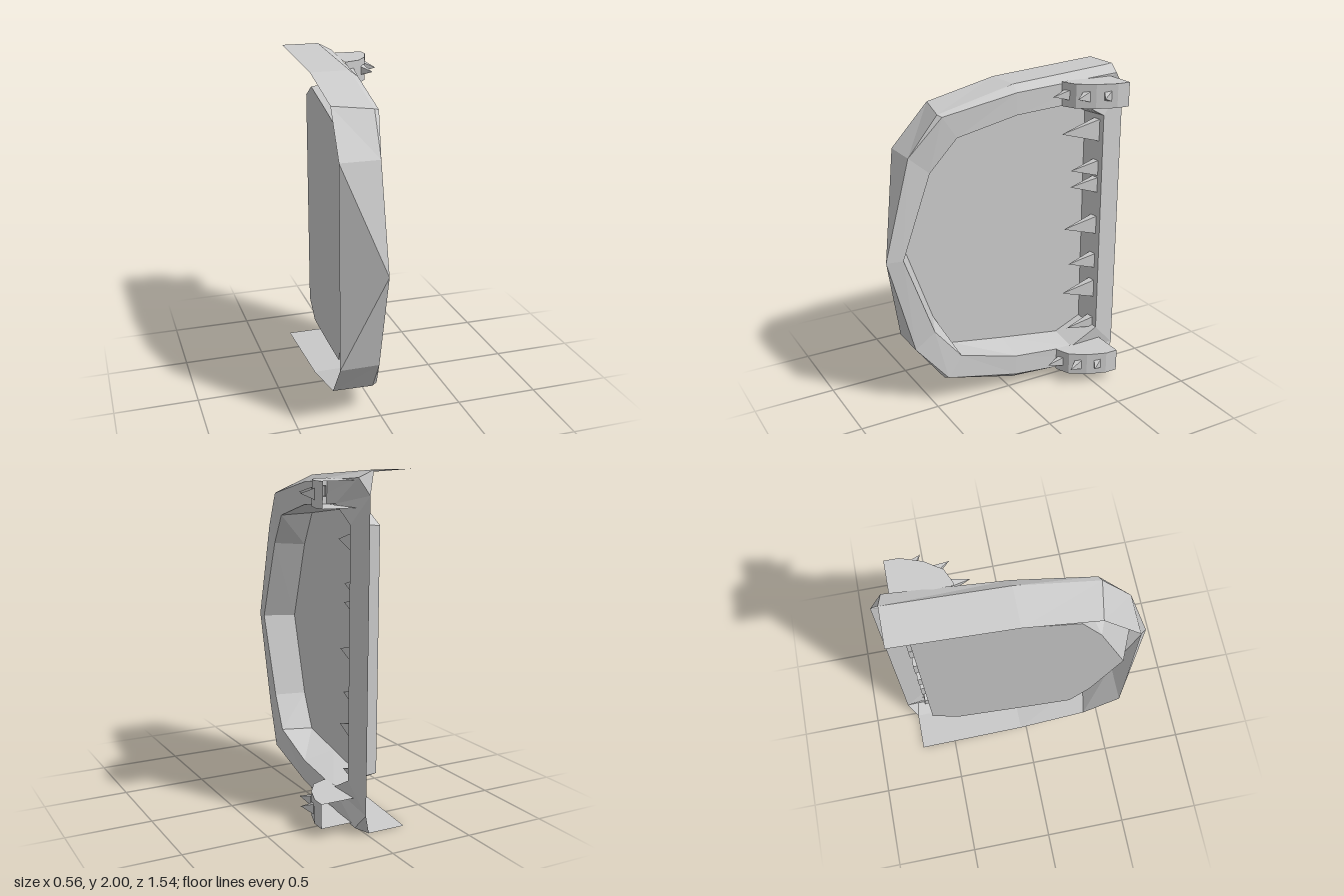
import * as THREE from 'three';
import { mergeGeometries } from 'three/addons/utils/BufferGeometryUtils.js';

const material = new THREE.MeshStandardMaterial({ color: 0xcccccc, flatShading: true, side: THREE.DoubleSide });

function add(group, name, geometry) {
  const mesh = new THREE.Mesh(geometry, material);
  mesh.name = name;
  group.add(mesh);
  return mesh;
}

function fromPositions(positions) {
  const geometry = new THREE.BufferGeometry();
  geometry.setAttribute('position', new THREE.Float32BufferAttribute(positions, 3));
  geometry.computeVertexNormals();
  return geometry;
}

// The panel leans back towards the nose
const onPanel = (y, z) => [-0.13 - 0.075 * (z + 0.61), y, z];

// Cross-sections from the upper post corner to the nose, as [x, y, z]:
// back edge, shoulder, front edge, opening rim, panel edge
const upperSections = [
  [[0.03, 1.87, -0.77], [0.03, 1.87, -0.77], [0.03, 1.87, -0.77], [0.06, 1.71, -0.62], onPanel(1.70, -0.61)],
  [[-0.25, 2.0, -0.72], [-0.02, 2.0, -0.72], [0.06, 1.96, -0.70], [0.05, 1.81, -0.44], onPanel(1.785, -0.44)],
  [[-0.255, 1.95, -0.04], [-0.02, 1.95, -0.04], [0.03, 1.91, -0.04], [0.03, 1.78, -0.04], onPanel(1.742, -0.04)],
  [[-0.26, 1.85, 0.39], [-0.03, 1.83, 0.435], [0.0, 1.82, 0.42], [0.0, 1.69, 0.33], onPanel(1.70, 0.30)],
  [[-0.28, 1.6, 0.61], [-0.05, 1.6, 0.61], [-0.05, 1.6, 0.61], [-0.03, 1.5, 0.49], onPanel(1.49, 0.42)],
  [[-0.28, 1.0, 0.61], [-0.053, 1.0, 0.77], [-0.053, 1.0, 0.77], [-0.035, 1.0, 0.67], onPanel(1.0, 0.59)],
];

const mirror = ([x, y, z]) => [x, 2 - y, z];
const lowerSections = upperSections.slice(0, -1).reverse().map((s) => s.map(mirror));
const loop = [...upperSections, ...lowerSections];

// Faceted frame skin, lofted around the whole loop; the post is a single plate, open behind
function frameGeometry() {
  const positions = [];
  loop.forEach((section, i) => {
    const next = loop[(i + 1) % loop.length];
    const touchesPost = i === 0 || i >= loop.length - 2;
    for (let j = touchesPost ? 1 : 0; j < section.length - 1; j++) {
      const a = section[j], b = next[j], c = next[j + 1], d = section[j + 1];
      const tris = i < upperSections.length - 1 ? [a, b, c, a, c, d] : [a, b, d, b, c, d];
      positions.push(...tris.flat());
    }
  });
  return fromPositions(positions);
}

// Leaning panel that closes the opening along the inner edge of the frame
function panelGeometry() {
  const edge = loop.map((section) => section[4]);
  const centre = onPanel(1, 0);
  return fromPositions(edge.flatMap((p, i) => [...centre, ...p, ...edge[(i + 1) % edge.length]]));
}

// Four-sided open spike from the centre of its base to its tip
function addSpike(group, name, base, tip, halfWidth, halfHeight) {
  const from = new THREE.Vector3(...base), to = new THREE.Vector3(...tip);
  const geometry = new THREE.ConeGeometry(Math.SQRT2, 1, 4, 1, true)
    .rotateY(Math.PI / 4)
    .rotateX(Math.PI / 2)
    .translate(0, 0, 0.5)
    .scale(halfWidth, halfHeight, from.distanceTo(to));
  const mesh = add(group, name, geometry);
  mesh.position.copy(from);
  mesh.lookAt(to);
}

// Curved bracket shell, open at the back: outer band plus top and bottom plates
function bracketGeometry() {
  const outline = [[0.04, -0.33], [0.06, -0.33], [0.14, -0.365], [0.205, -0.46], [0.247, -0.58], [0.247, -0.66]];
  const half = 0.071;
  const band = [];
  for (let i = 0; i < outline.length - 1; i++) {
    const [x0, z0] = outline[i], [x1, z1] = outline[i + 1];
    const a = [x0, -half, z0], b = [x1, -half, z1], c = [x1, half, z1], d = [x0, half, z0];
    band.push(...a, ...b, ...c, ...a, ...c, ...d);
  }
  // Plates fan out from the inner back corner
  const plates = [];
  for (let i = 0; i < outline.length - 1; i++) {
    const [x0, z0] = outline[i], [x1, z1] = outline[i + 1];
    plates.push(0.04, half, -0.66, x0, half, z0, x1, half, z1);
    plates.push(0.04, -half, -0.66, x1, -half, z1, x0, -half, z0);
  }
  return mergeGeometries([fromPositions(band), fromPositions(plates)]);
}

// Bracket with three spikes on its outer faces
function makeBracket(name, y) {
  const bracket = new THREE.Group();
  bracket.name = name;
  add(bracket, 'bracketShell', bracketGeometry());
  const spikes = [
    [[0.078, 0, -0.35], [0.092, 0, -0.24]],
    [[0.17, 0, -0.42], [0.214, 0, -0.33]],
    [[0.22, 0, -0.53], [0.28, 0, -0.472]],
  ];
  for (const [base, tip] of spikes) addSpike(bracket, 'bracketSpike', base, tip, 0.022, 0.03);
  bracket.position.y = y;
  return bracket;
}

export function createModel() {
  const model = new THREE.Group();
  model.name = 'spikedHatch';
  add(model, 'frame', frameGeometry());
  add(model, 'panel', panelGeometry());

  // Row of spikes on the post: base height, tip height, tip z, half height
  const postSpikes = [
    [1.61, 1.61, -0.37, 0.075], [1.37, 1.37, -0.44, 0.055], [1.26, 1.265, -0.44, 0.055],
    [0.995, 0.995, -0.40, 0.065], [0.75, 0.75, -0.44, 0.055], [0.555, 0.555, -0.40, 0.065],
    [0.315, 0.295, -0.44, 0.04],
  ];
  for (const [y, tipY, tipZ, halfHeight] of postSpikes) {
    addSpike(model, 'postSpike', [-0.004, y, -0.645], [-0.01, tipY, tipZ], 0.03, halfHeight);
  }

  model.add(makeBracket('upperBracket', 1.873), makeBracket('lowerBracket', 0.127));
  return model;
}
